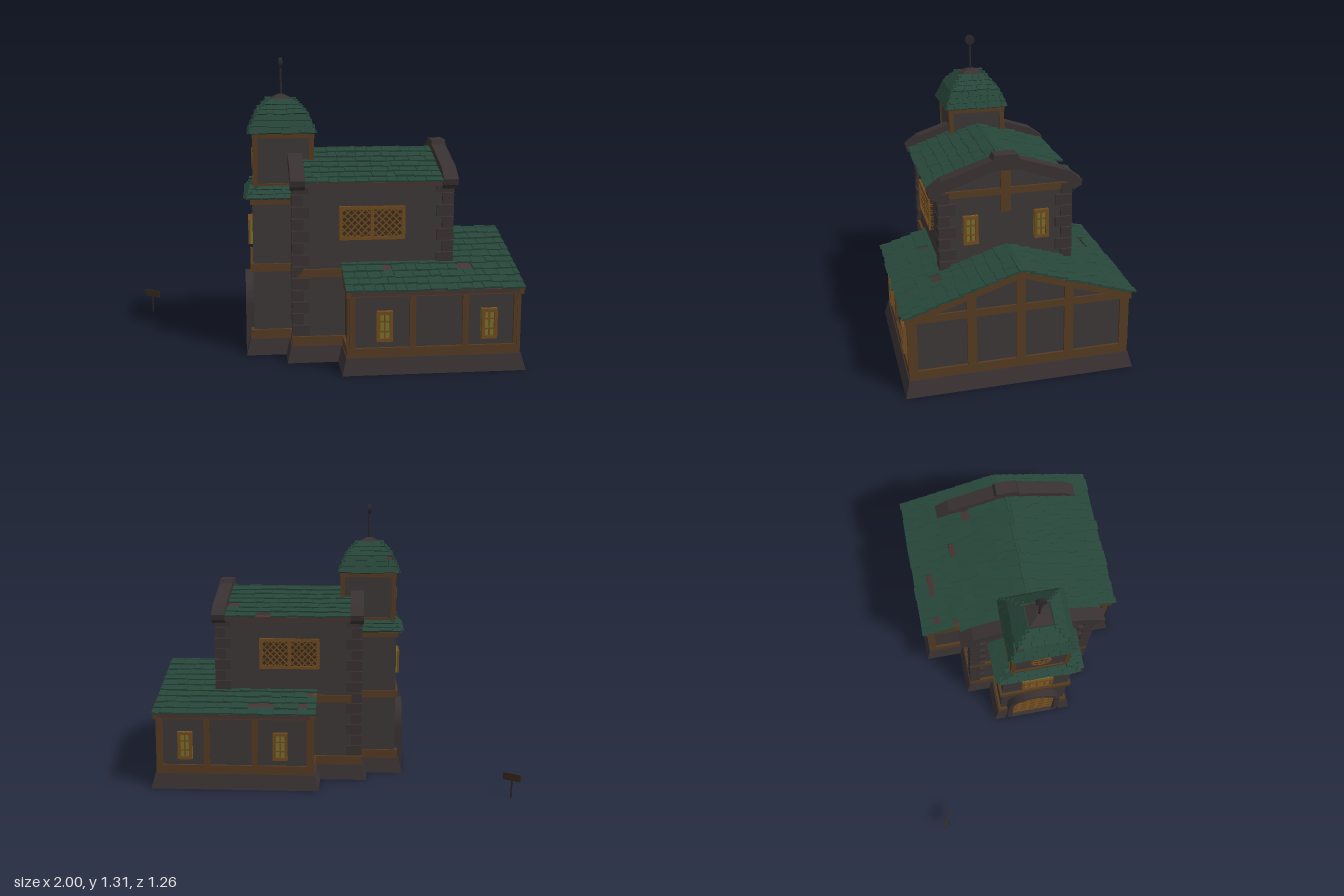
import * as THREE from 'three';
import { mergeGeometries } from 'three/addons/utils/BufferGeometryUtils.js';

const mat = (name, color) => {
  const m = new THREE.MeshStandardMaterial({ color, side: THREE.DoubleSide });
  m.name = name;
  return m;
};
const M = {
  wall: mat('wall stone', 0x3d3737),
  trim: mat('trim stone', 0x393132),
  timber: mat('timber', 0x543a21),
  roof: mat('green shingle', 0x27463a),
  under: mat('roof boards', 0x473434),
  glass: mat('window yellow', 0x77702b),
  gold: mat('window wood', 0x6e4a20),
  dark: mat('dark lattice', 0x3a2a1c),
  metal: mat('iron', 0x29272a),
};
let seed = 7;
const rnd = () => (seed = (seed * 16807) % 2147483647) / 2147483647;

function add(parent, name, geo, material, x = 0, y = 0, z = 0, ry = 0) {
  const m = new THREE.Mesh(geo, material);
  m.name = name;
  m.position.set(x, y, z);
  m.rotation.y = ry;
  parent.add(m);
  return m;
}
const box = (p, name, w, h, d, m, x, y, z, ry) => add(p, name, new THREE.BoxGeometry(w, h, d), m, x, y, z, ry);
function plate(p, name, pts, m, depth, z) {
  const s = new THREE.Shape(pts.map(a => new THREE.Vector2(...a)));
  return add(p, name, new THREE.ExtrudeGeometry(s, { depth, bevelEnabled: false }), m, 0, 0, z);
}
const mirror = pts => pts.concat(pts.map(([x, y]) => [-x, y]).reverse());

// Sweeps a profile of [offset, y] along half a ground plan of [x, z], and mirrors it
function band(p, name, plan, profile, m) {
  const v = [];
  for (const s of [1, -1]) for (let i = 0; i < plan.length - 1; i++) for (let j = 0; j < profile.length - 1; j++) {
    const at = (a, [off, y]) => [s * (a[0] + Math.sign(a[0]) * off), y, a[1] + (a[1] < -0.5 ? -off : off)];
    const [a, b, c, d] = [at(plan[i], profile[j]), at(plan[i + 1], profile[j]), at(plan[i + 1], profile[j + 1]), at(plan[i], profile[j + 1])];
    v.push(...(s > 0 ? [a, b, c, a, c, d] : [a, c, b, a, d, c]).flat());
  }
  const g = new THREE.BufferGeometry();
  g.setAttribute('position', new THREE.Float32BufferAttribute(v, 3));
  g.computeVertexNormals();
  return add(p, name, g, m);
}

// Rows of uneven shingles on a slope facing +z, from eave (d0,y0) to top (d1,y1)
function shingles(p, name, [d0, y0, h0], [d1, y1, h1], rows, size, x, z, ry) {
  const list = [], a = Math.atan2(y1 - y0, d0 - d1), len = Math.hypot(y1 - y0, d0 - d1) / rows;
  for (let r = 0; r < rows; r++) {
    const t = (r + 0.5) / rows, half = h0 + (h1 - h0) * (r + 0.3) / rows;
    let u = -half;
    while (u < half - 0.001) {
      let w = Math.min(size * (0.6 + 0.8 * rnd()), half - u);
      if (half - u - w < size * 0.3) w = half - u;
      const l = len * (1.15 + 0.35 * rnd());
      if (rnd() > 0.015) {
        const g = new THREE.BoxGeometry(w - 0.002, 0.008, l);
        g.rotateX(a - 0.1 - 0.05 * rnd());
        g.translate(u + w / 2, y0 + (y1 - y0) * t + 0.003 * rnd(), d0 + (d1 - d0) * t);
        list.push(g);
      }
      u += w;
    }
  }
  return add(p, name, mergeGeometries(list), M.roof, x, 0, z, ry);
}

// Framed window facing +z: a grid of bars, or a diamond lattice
function makeWindow(p, name, w, h, cols, rows, x, y, z, ry = 0, diamond = false) {
  const g = new THREE.Group();
  g.name = name;
  g.position.set(x, y, z);
  g.rotation.y = ry;
  p.add(g);
  box(g, 'pane', w, h, 0.016, diamond ? M.dark : M.glass, 0, 0, 0);
  const f = 0.014;
  for (const s of [-1, 1]) {
    box(g, 'frameSide', f, h, 0.036, M.gold, s * (w - f) / 2, 0, 0);
    box(g, 'frameEnd', w, f, 0.036, M.gold, 0, s * (h - f) / 2, 0);
  }
  for (let i = 1; i < cols; i++) box(g, 'mullion', diamond ? f : 0.006, h, 0.03, M.gold, -w / 2 + w * i / cols, 0, 0);
  for (let i = 1; i < rows; i++) box(g, 'crossbar', w, 0.006, 0.028, M.gold, 0, -h / 2 + h * i / rows, 0);
  if (diamond) for (const s of [-1, 1]) for (let c = -0.18; c < 0.19; c += 0.03) {
    const x0 = Math.max(-w / 2, -h / 2 - c), x1 = Math.min(w / 2, h / 2 - c);
    if (x1 - x0 < 0.01) continue;
    const bar = box(g, 'lattice', (x1 - x0) * Math.SQRT2, 0.006, 0.022, M.gold, s * (x0 + x1) / 2, (x0 + x1) / 2 + c, 0);
    bar.rotation.z = s * Math.PI / 4;
  }
}
const chevron = (hw, ye, yr, t) => [[-hw, ye], [0, yr], [hw, ye], [hw, ye - t], [0, yr - t], [-hw, ye - t]];

export function createModel() {
  const root = new THREE.Group();
  root.name = 'timberedHouse';
  const house = new THREE.Group();
  house.name = 'house';
  house.rotation.y = -1.007;
  house.position.set(0.113, 0, 0.179);
  root.add(house);
  const Q = Math.PI / 2;

  // Ground storey: flared plinth, sill beam and walls
  const steps = [[0.165, 0.41], [0.165, 0.235], [0.285, 0.235], [0.285, 0.015], [0.465, 0.015], [0.465, -0.7], [0, -0.7]];
  const plan = [[0.11, 0.41], ...steps];
  band(house, 'plinth', plan, [[0.034, 0], [0.016, 0.07], [0, 0.07]], M.trim);
  band(house, 'sillBeam', plan, [[0, 0.07], [0.012, 0.07], [0.012, 0.11], [0, 0.11]], M.timber);
  band(house, 'annexWall', steps.slice(3), [[0, 0.05], [0, 0.36]], M.wall);
  band(house, 'naveWall', [[0.165, 0.235], [0.285, 0.235], [0.285, -0.44]], [[0, 0.05], [0, 0.8]], M.wall);
  band(house, 'towerWall', [[0, 0.41], [0.165, 0.41], [0.165, 0.235]], [[0, 0], [0, 0.72]], M.wall);
  band(house, 'middleBeam', [[0, 0.41], ...steps.slice(0, 4)], [[0, 0.375], [0.012, 0.375], [0.012, 0.41], [0, 0.41]], M.timber);

  // Annex: gable ends, timber frame, roof
  plate(house, 'annexBackGable', [[-0.465, 0.35], [0.465, 0.35], [0, 0.5]], M.wall, 0.004, -0.702);
  for (const s of [-1, 1])
    plate(house, 'annexFrontGable', [[s * 0.465, 0.35], [s * 0.28, 0.35], [s * 0.28, 0.42]], M.wall, 0.004, 0.012);
  band(house, 'annexTopBeam', steps.slice(3), [[0, 0.33], [0.011, 0.33], [0.011, 0.363], [0, 0.363]], M.timber);
  for (const z of [-0.722, 0.012]) plate(house, 'rakeBeam', chevron(0.487, 0.36, 0.518, 0.03), M.timber, 0.02, z);
  [[0, 0.495], [0.21, 0.43], [0.46, 0.35]].forEach(([x, top]) => {
    for (const s of x ? [-1, 1] : [1]) box(house, 'gablePost', 0.04, top - 0.1, 0.016, M.timber, s * x, (top + 0.1) / 2, -0.703);
  });
  for (const s of [-1, 1]) {
    for (const z of [0.005, -0.25, -0.475, -0.695]) box(house, 'sidePost', 0.016, 0.25, 0.026, M.timber, s * 0.468, 0.22, z);
    for (const z of [-0.13, -0.575]) makeWindow(house, 'annexWindow', 0.068, 0.13, 2, 3, s * 0.47, 0.205, z, s * Q);
    box(house, 'frontPost', 0.026, 0.25, 0.016, M.timber, s * 0.456, 0.22, 0.018);
    shingles(house, 'annexShingles', [0.495, 0.36, 0.38], [0.0, 0.522, 0.38], 10, 0.06, 0, -0.345, s * Q);
  }
  plate(house, 'annexRoofBoards', chevron(0.485, 0.355, 0.513, 0.018), M.under, 0.745, -0.718);

  // Nave: gables, parapets, quoins, windows and roof
  const gable = y => [[-0.285, y], [0.285, y], [0.285, 0.79], [0, 0.88], [-0.285, 0.79]];
  plate(house, 'naveFrontGable', gable(0.7), M.wall, 0.006, 0.229);
  plate(house, 'naveBackGable', gable(0.33), M.wall, 0.006, -0.444);
  const parapet = mirror([[0.05, 0.94], [0.06, 0.918], [0.28, 0.845], [0.34, 0.8], [0.335, 0.775], [0.3, 0.755], [0.282, 0.79], [0.05, 0.872]]);
  for (const z of [0.19, -0.465]) plate(house, 'parapet', parapet, M.trim, 0.063, z);
  box(house, 'gableTieBeam', 0.57, 0.03, 0.016, M.timber, 0, 0.775, -0.446);
  box(house, 'gableKingPost', 0.045, 0.2, 0.02, M.timber, 0, 0.78, -0.446);
  for (const s of [-1, 1]) {
    makeWindow(house, 'gableWindow', 0.066, 0.13, 2, 3, s * 0.157, 0.61, -0.446, Math.PI);
    makeWindow(house, 'latticeWindow', 0.285, 0.145, 2, 1, s * 0.288, 0.61, -0.1, s * Q, true);
    for (const z of [0.215, -0.425]) for (let i = 0; i < 13; i++) {
      const k = i % 2 ? 0.05 : 0.075;
      box(house, 'quoin', 0.125 - k, 0.047, k, M.trim, s * (0.297 - (0.125 - k) / 2), 0.138 + i * 0.052, z + Math.sign(z) * (0.031 - k / 2));
    }
    shingles(house, 'naveShingles', [0.325, 0.79, 0.3], [0, 0.902, 0.3], 7, 0.06, 0, -0.105, s * Q);
  }
  plate(house, 'naveRoofBoards', chevron(0.31, 0.787, 0.893, 0.02), M.under, 0.6, -0.405);

  // Tower: skirt roof, upper chamber and bell roof
  const tower = new THREE.Group();
  tower.name = 'tower';
  house.add(tower);
  const lower = [[0, 0.41], [0.165, 0.41], [0.165, 0.2]];
  band(tower, 'skirtBeam', lower, [[0, 0.675], [0.01, 0.675], [0.01, 0.705], [0, 0.705]], M.timber);
  band(tower, 'skirtBoards', lower, [[0, 0.7], [0.028, 0.7], [-0.037, 0.75]], M.under);
  shingles(tower, 'skirtShingles', [0.44, 0.706, 0.2], [0.39, 0.752, 0.135], 2, 0.05, 0, 0, 0);
  for (const s of [-1, 1])
    shingles(tower, 'skirtShingles', [0.203, 0.706, 0.115], [0.13, 0.752, 0.1], 3, 0.05, 0, 0.32, s * Q);
  box(tower, 'chamber', 0.26, 0.26, 0.26, M.wall, 0, 0.86, 0.272);
  for (const y of [0.752, 0.972]) box(tower, 'chamberBeam', 0.274, 0.022, 0.274, M.timber, 0, y, 0.272);
  for (const sx of [-1, 1]) for (const sz of [-1, 1])
    box(tower, 'chamberPost', 0.022, 0.22, 0.022, M.timber, sx * 0.124, 0.86, 0.272 + sz * 0.124);
  const frustum = (name, r1, r0, y1, y0, m) =>
    add(tower, name, new THREE.CylinderGeometry(r1 * Math.SQRT2, r0 * Math.SQRT2, y1 - y0, 4).toNonIndexed().rotateY(Math.PI / 4), m, 0, (y0 + y1) / 2, 0.276).geometry.computeVertexNormals();
  frustum('bellRoofLower', 0.106, 0.14, 1.06, 0.98, M.under);
  frustum('bellRoofUpper', 0.053, 0.106, 1.12, 1.06, M.under);
  frustum('roofCap', 0.012, 0.06, 1.148, 1.122, M.trim);
  for (let i = 0; i < 4; i++) {
    shingles(tower, 'bellShingles', [0.147, 0.985, 0.147], [0.113, 1.064, 0.113], 3, 0.05, 0, 0.276, i * Q);
    shingles(tower, 'bellShingles', [0.113, 1.064, 0.113], [0.06, 1.124, 0.06], 3, 0.05, 0, 0.276, i * Q);
  }
  add(tower, 'finialPole', new THREE.CylinderGeometry(0.005, 0.006, 0.14, 8), M.metal, 0, 1.205, 0.276);
  add(tower, 'finialDisc', new THREE.CylinderGeometry(0.023, 0.023, 0.016, 16).rotateX(Q), M.metal, 0, 1.285, 0.276);

  // Round ornament and front window
  add(tower, 'roundPane', new THREE.CylinderGeometry(0.042, 0.042, 0.008, 20).rotateX(Q), M.dark, 0, 0.862, 0.404);
  add(tower, 'roundFrame', new THREE.TorusGeometry(0.042, 0.007, 6, 20), M.gold, 0, 0.862, 0.406);
  for (let i = 0; i < 3; i++) box(tower, 'roundBar', 0.08, 0.006, 0.01, M.gold, 0, 0.862, 0.407).rotation.z = i * Math.PI / 3;
  makeWindow(tower, 'towerWindow', 0.15, 0.11, 4, 2, 0, 0.535, 0.412);

  // Arched door with stone surround and grid of bars
  const arch = (r, spring) => new THREE.Shape().moveTo(-r, 0).lineTo(r, 0).lineTo(r, spring).absarc(0, spring, r, 0, Math.PI).lineTo(-r, 0);
  const extrude = (s, depth) => new THREE.ExtrudeGeometry(s, { depth, bevelEnabled: false, curveSegments: 16 });
  const surround = arch(0.132, 0.21);
  surround.holes.push(arch(0.108, 0.21));
  add(tower, 'doorSurround', extrude(surround, 0.05), M.trim, 0, 0, 0.395);
  add(tower, 'door', extrude(arch(0.108, 0.21), 0.02), M.dark, 0, 0, 0.4);
  for (let i = -2; i <= 2; i++) {
    const x = i * 0.046, top = 0.21 + Math.sqrt(0.108 ** 2 - x * x);
    box(tower, 'doorBar', 0.026, top, 0.034, M.gold, x, top / 2, 0.41);
  }
  for (let y = 0.03; y < 0.3; y += 0.05) {
    const w = y < 0.21 ? 0.108 : Math.sqrt(0.108 ** 2 - (y - 0.21) ** 2);
    box(tower, 'doorRail', 2 * w, 0.012, 0.04, M.gold, 0, y, 0.41);
  }

  // Small signpost standing apart
  const sign = new THREE.Group();
  sign.name = 'signpost';
  sign.position.set(-0.957, 0, 0.222);
  root.add(sign);
  box(sign, 'signPostLower', 0.006, 0.05, 0.006, M.metal, 0.001, 0.025, 0);
  box(sign, 'signPostUpper', 0.006, 0.05, 0.006, M.metal, -0.001, 0.07, 0);
  box(sign, 'signBoard', 0.084, 0.033, 0.006, M.dark, 0, 0.096, 0);
  return root;
}
